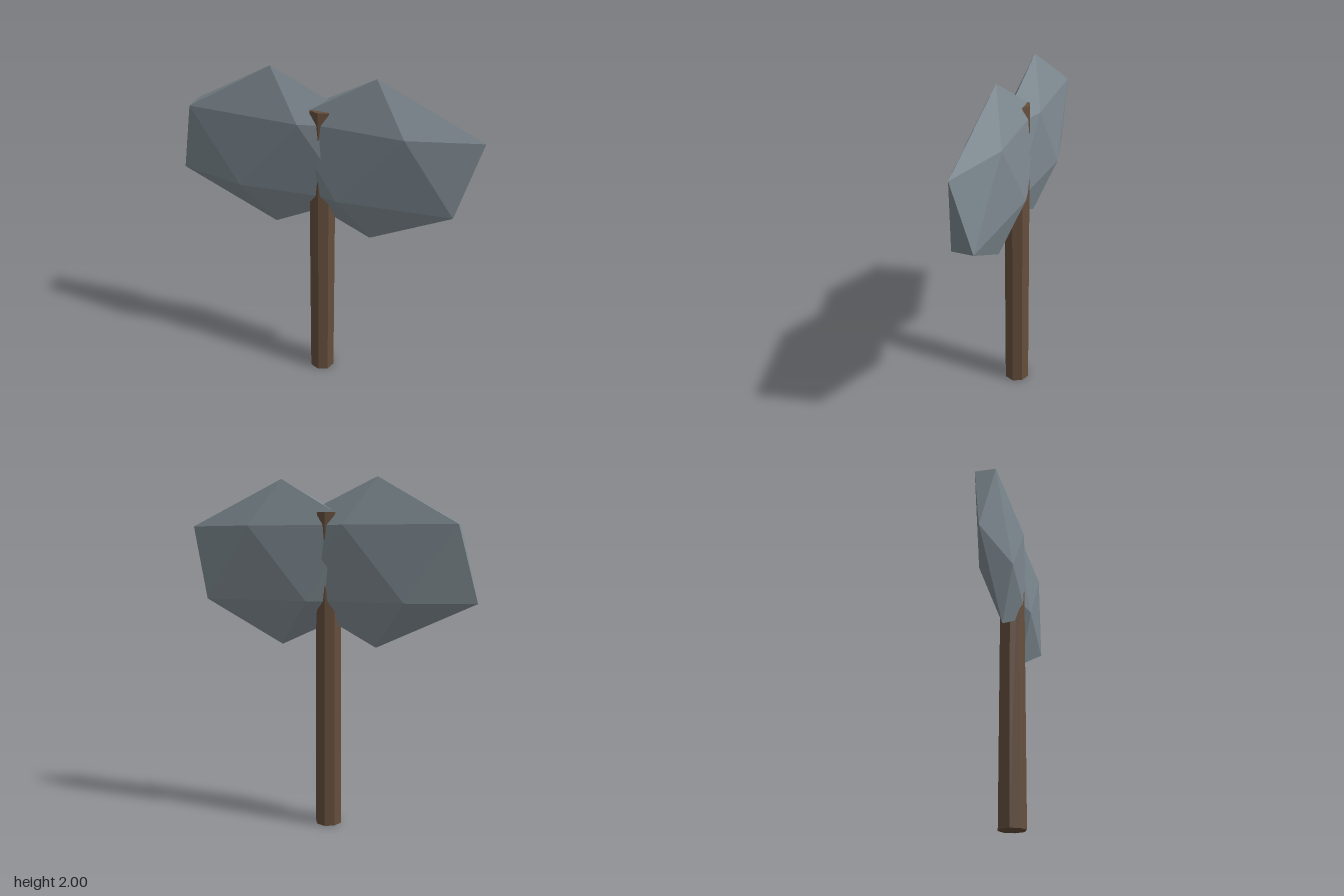
import * as THREE from 'three';
import { ConvexGeometry } from 'three/addons/geometries/ConvexGeometry.js';

// Flattened icosahedron with its poles on the y axis
function stoneGeometry(rx, ry, rz) {
  const ringY = 1 / Math.sqrt(5);
  const ringR = 2 / Math.sqrt(5);
  const points = [new THREE.Vector3(0, ry, 0), new THREE.Vector3(0, -ry, 0)];
  for (let i = 0; i < 10; i++) {
    const a = (i * Math.PI) / 5;
    const y = i % 2 === 0 ? ringY : -ringY;
    points.push(new THREE.Vector3(ringR * Math.cos(a) * rx, y * ry, ringR * Math.sin(a) * rz));
  }
  return new ConvexGeometry(points);
}

export function createModel() {
  const stone = new THREE.MeshStandardMaterial({ color: 0x7f8b92, flatShading: true });
  stone.name = 'stone';
  const wood = new THREE.MeshStandardMaterial({ color: 0x664f3d, flatShading: true });
  wood.name = 'wood';

  const model = new THREE.Group();
  model.name = 'stoneHammer';

  // Eight-sided, slightly tapered handle
  const handleHeight = 1.81;
  const handle = new THREE.Mesh(new THREE.CylinderGeometry(0.073, 0.077, handleHeight, 8), wood);
  handle.name = 'handle';
  handle.position.y = handleHeight / 2;
  model.add(handle);

  // Two overlapping stones form the head
  const geometry = stoneGeometry(0.622, 0.47, 0.109);
  for (const [name, x] of [['rightStone', -0.279], ['leftStone', 0.279]]) {
    const head = new THREE.Mesh(geometry, stone);
    head.name = name;
    head.position.set(x, 1.53, 0);
    model.add(head);
  }
  return model;
}
